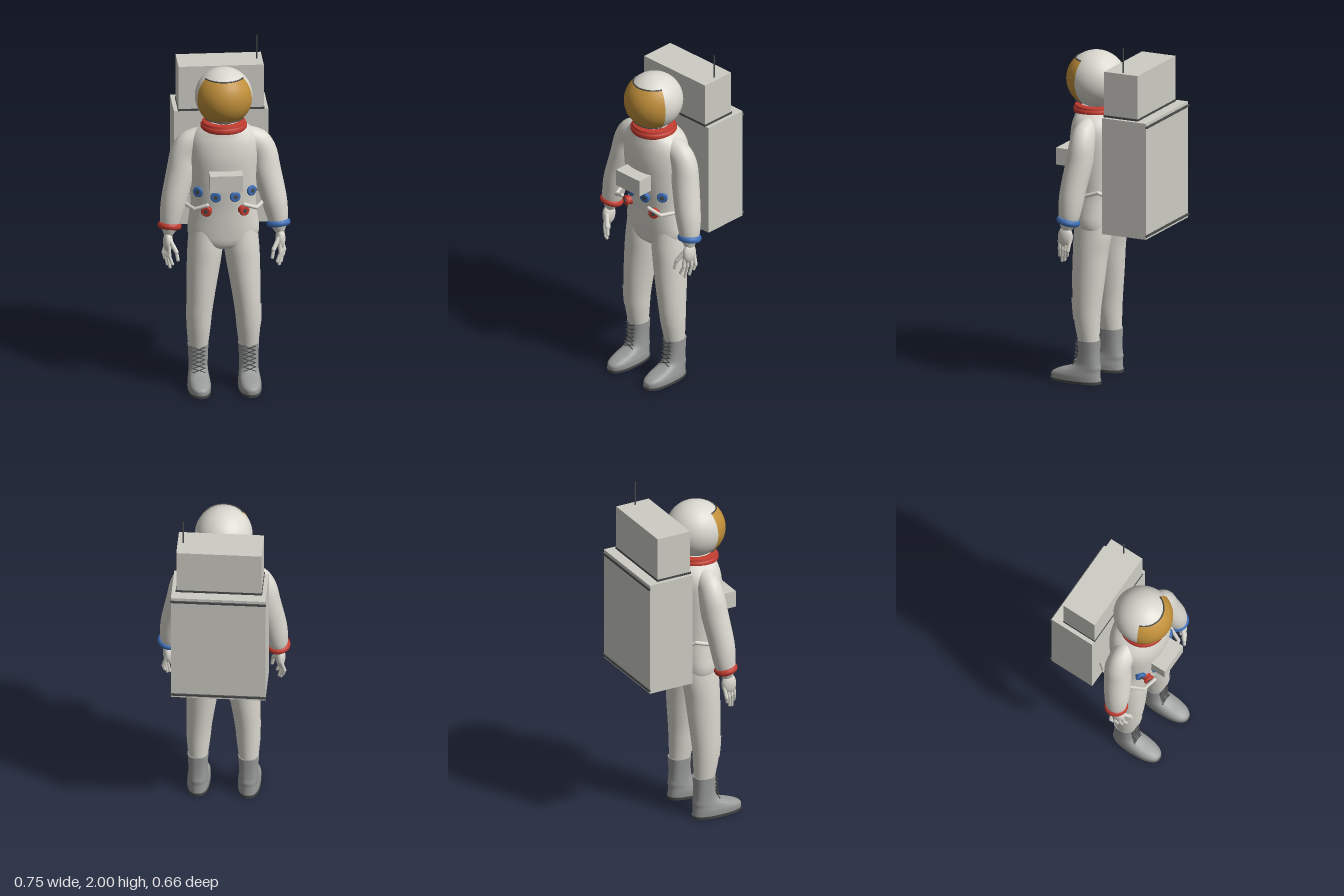
import * as THREE from 'three';

const mat = (name, color) => Object.assign(new THREE.MeshStandardMaterial({ color }), { name });

// Smooth interpolation between four neighbouring values
const cubic = (a, b, c, d, t) =>
  0.5 * (2 * b + (c - a) * t + (2 * a - 5 * b + 4 * c - d) * t * t + (3 * b - a - 3 * c + d) * t ** 3);

// Skin over rings [x, y, z, rx, rz, tilt], listed bottom to top; side -1 mirrors in x
function loft(sections, { side = 1, power = 2, from = 0, to = Math.PI * 2, steps = 5, seg = 36 } = {}) {
  const rings = [];
  const at = i => sections[Math.min(Math.max(i, 0), sections.length - 1)];
  for (let i = 0; i < sections.length - 1; i++)
    for (let k = 0; k < steps; k++)
      rings.push(at(i).map((_, c) => cubic(at(i - 1)[c], at(i)[c], at(i + 1)[c], at(i + 2)[c], k / steps)));
  rings.push(at(sections.length));
  const full = to - from > 6.28, n = full ? seg : seg + 1;
  const pos = [], idx = [];
  const curve = v => Math.sign(v) * Math.abs(v) ** (2 / power);
  const addRing = ([x, y, z, rx, rz, tilt = 0]) => {
    for (let i = 0; i < n; i++) {
      const a = from + (to - from) * i / seg, u = rx * curve(Math.cos(a));
      pos.push(side * (x + u * Math.cos(tilt)), y + u * Math.sin(tilt), z + rz * curve(Math.sin(a)));
    }
  };
  const tri = (a, b, c) => side > 0 ? idx.push(a, b, c) : idx.push(a, c, b);
  rings.forEach(addRing);
  for (let j = 0; j < rings.length - 1; j++)
    for (let i = 0; i < seg; i++) {
      const p = j * n + i, r = j * n + (i + 1) % n;
      tri(p, p + n, r);
      tri(r, p + n, r + n);
    }
  if (full) [rings[0], rings[rings.length - 1]].forEach((ring, top) => {
    const base = pos.length / 3, centre = base + n;
    addRing(ring);
    pos.push(side * ring[0], ring[1], ring[2]);
    for (let i = 0; i < n; i++) {
      const a = base + i, b = base + (i + 1) % n;
      top ? tri(centre, b, a) : tri(centre, a, b);
    }
  });
  const g = new THREE.BufferGeometry();
  g.setAttribute('position', new THREE.Float32BufferAttribute(pos, 3));
  g.setIndex(idx);
  g.computeVertexNormals();
  return g;
}

export function createModel() {
  const model = new THREE.Group();
  model.name = 'astronaut';
  const suit = mat('suit white', 0xdad8cf), shell = mat('pack grey', 0xcdccc4);
  const boot = mat('boot grey', 0x999a9a), dark = mat('dark trim', 0x4a4c4c);
  const gold = mat('visor gold', 0xc08f3a), red = mat('red', 0xc23c30), blue = mat('blue', 0x3f70b8);

  const add = (name, geo, material, x = 0, y = 0, z = 0) => {
    const m = new THREE.Mesh(geo, material);
    m.name = name;
    m.position.set(x, y, z);
    model.add(m);
    return m;
  };
  const box = (name, material, x0, x1, y0, y1, z0, z1) =>
    add(name, new THREE.BoxGeometry(x1 - x0, y1 - y0, z1 - z0), material, (x0 + x1) / 2, (y0 + y1) / 2, (z0 + z1) / 2);
  const rod = (name, a, b, r, material) => {
    const p = new THREE.Vector3(...a), q = new THREE.Vector3(...b), d = q.clone().sub(p);
    const m = add(name, new THREE.CapsuleGeometry(r, d.length(), 4, 10), material);
    m.position.copy(p).add(q).multiplyScalar(0.5);
    m.quaternion.setFromUnitVectors(new THREE.Vector3(0, 1, 0), d.normalize());
    return m;
  };

  // Torso
  add('torso', loft([
    [0, 0.83, 0.09, 0.03, 0.05], [0, 0.85, 0.088, 0.12, 0.095], [0, 0.885, 0.085, 0.185, 0.115],
    [0, 0.94, 0.085, 0.203, 0.122], [0, 1.02, 0.086, 0.194, 0.128], [0, 1.1, 0.088, 0.185, 0.133],
    [0, 1.2, 0.092, 0.189, 0.142], [0, 1.3, 0.095, 0.195, 0.149], [0, 1.4, 0.097, 0.2, 0.152],
    [0, 1.48, 0.096, 0.195, 0.145], [0, 1.535, 0.1, 0.165, 0.128], [0, 1.575, 0.115, 0.11, 0.105]
  ], { power: 2.2, seg: 48 }), suit);

  // Helmet, visor and neck ring
  const helmetY = 1.743, helmetZ = 0.117;
  add('helmet', new THREE.SphereGeometry(0.163, 48, 32), suit, 0, helmetY, helmetZ).scale.z = 1.04;
  add('visor', new THREE.SphereGeometry(0.1655, 48, 24, Math.PI / 2 - 1.2, 2.4, 0.76, 1.63), gold,
    0, helmetY, helmetZ).scale.z = 1.04;
  for (const dy of [0.12, -0.122]) {
    const rim = new THREE.TorusGeometry(0.114, 0.004, 8, 40, 2.4);
    rim.rotateZ(Math.PI / 2 - 1.2).rotateX(Math.PI / 2);
    add('visorRim', rim, dark, 0, helmetY + dy, helmetZ).scale.z = 1.04;
  }
  const neck = [[0.1, 1.55], [0.126, 1.551], [0.131, 1.558], [0.131, 1.574], [0.126, 1.58],
    [0.121, 1.583], [0.123, 1.592], [0.118, 1.598], [0.09, 1.6]].map(p => new THREE.Vector2(...p));
  add('neckRing', new THREE.LatheGeometry(neck, 48), red, 0, 0, helmetZ);

  // Life support pack, upper box, seams and antenna
  box('backpack', shell, -0.267, 0.267, 0.917, 1.595, -0.325, -0.05);
  box('upperPack', shell, -0.241, 0.241, 1.607, 1.86, -0.26, -0.05);
  box('upperPackSeam', dark, -0.244, 0.244, 1.595, 1.607, -0.263, -0.047);
  for (const y of [0.937, 1.572]) box('packSeam', dark, -0.27, 0.27, y - 0.006, y + 0.006, -0.333, -0.323);
  add('antenna', new THREE.CylinderGeometry(0.004, 0.004, 0.14, 10), dark, 0.21, 1.93, -0.155);

  // Chest control box
  box('chestBox', shell, -0.093, 0.093, 1.235, 1.333, 0.235, 0.326);

  // Hose connector: collar, rounded lip and dark socket
  const connector = (x, y, material) => {
    const g = new THREE.Group();
    g.name = 'hoseConnector';
    g.position.set(x, y, 0.085 + 0.14 * Math.sqrt(1 - (x / 0.19) ** 2));
    g.rotation.y = x * 4;
    const part = (geo, m, z) => {
      const mesh = new THREE.Mesh(geo, m);
      mesh.name = 'connectorPart';
      mesh.position.z = z;
      g.add(mesh);
    };
    part(new THREE.CylinderGeometry(0.023, 0.027, 0.045, 24).rotateX(Math.PI / 2), material, 0.012);
    part(new THREE.TorusGeometry(0.023, 0.008, 10, 28), material, 0.026);
    part(new THREE.CylinderGeometry(0.012, 0.012, 0.004, 20).rotateX(Math.PI / 2), dark, 0.035);
    model.add(g);
  };

  for (const s of [-1, 1]) {
    const opt = { side: s };

    connector(s * 0.138, 1.2, blue);
    connector(s * 0.05, 1.18, blue);
    connector(s * 0.098, 1.09, red);

    // Hose from the pack round the waist
    const hose = [[0.17, 1.1, -0.06], [0.22, 1.14, 0], [0.225, 1.11, 0.09], [0.21, 1.11, 0.165],
      [0.175, 1.11, 0.24], [0.105, 1.14, 0.265]].map(([x, y, z]) => [s * x, y, z]);
    for (let i = 1; i < hose.length; i++) rod('waistHose', hose[i - 1], hose[i], 0.011, suit);

    // Arm with wrist, and the coloured cuff
    add('arm', loft([
      [0.315, 0.93, 0.148, 0.026, 0.03, 0.1], [0.308, 0.985, 0.14, 0.052, 0.056, 0.15],
      [0.296, 1.06, 0.135, 0.066, 0.068, 0.15], [0.278, 1.15, 0.128, 0.074, 0.074, 0.15],
      [0.242, 1.3, 0.108, 0.08, 0.077, 0.2], [0.225, 1.39, 0.1, 0.08, 0.073, 0.45],
      [0.19, 1.45, 0.1, 0.08, 0.068, 0.95], [0.12, 1.48, 0.1, 0.075, 0.065, 1.35]
    ], opt), suit);
    const cuff = add('cuff', new THREE.TorusGeometry(0.053, 0.015, 12, 40).rotateX(Math.PI / 2),
      s < 0 ? red : blue, s * 0.308, 0.98, 0.142);
    cuff.scale.y = 1.25;
    cuff.rotation.set(-0.22, 0, s * 0.1);

    // Gloved hand
    add('palm', new THREE.SphereGeometry(1, 24, 16), suit, s * 0.318, 0.89, 0.155).scale.set(0.028, 0.062, 0.045);
    for (let i = 0; i < 4; i++) {
      const z = 0.122 + 0.022 * i, drop = [0.785, 0.755, 0.745, 0.77][i];
      const mid = [s * (0.343 - 0.01 * i), 0.815, z + 0.006];
      rod('finger', [s * (0.325 - 0.004 * i), 0.875, z], mid, 0.0105, suit);
      rod('fingertip', mid, [s * (0.335 - 0.013 * i), drop, z + 0.014], 0.009, suit);
    }
    rod('thumb', [s * 0.305, 0.9, 0.185], [s * 0.275, 0.845, 0.212], 0.013, suit);
    rod('thumbTip', [s * 0.275, 0.845, 0.212], [s * 0.267, 0.8, 0.218], 0.01, suit);

    // Leg and knee patch
    add('leg', loft([
      [0.143, 0.23, 0.094, 0.054, 0.06], [0.141, 0.35, 0.105, 0.067, 0.074], [0.137, 0.45, 0.108, 0.073, 0.083],
      [0.125, 0.6, 0.105, 0.084, 0.095], [0.111, 0.75, 0.099, 0.096, 0.102], [0.102, 0.85, 0.091, 0.1, 0.109],
      [0.098, 0.95, 0.086, 0.095, 0.105]
    ], opt), suit);
    add('kneePatch', loft([
      [0.1395, 0.37, 0.1055, 0.074, 0.081], [0.1375, 0.435, 0.1077, 0.078, 0.087], [0.133, 0.5, 0.107, 0.083, 0.093]
    ], { side: s, from: 0.25, to: 1.65, seg: 14 }), suit);

    // Boot, sole and crossed laces
    add('boot', loft([
      [0.143, 0.014, 0.174, 0.062, 0.15], [0.143, 0.045, 0.174, 0.064, 0.148], [0.143, 0.07, 0.152, 0.06, 0.125],
      [0.143, 0.092, 0.118, 0.056, 0.093], [0.143, 0.12, 0.099, 0.054, 0.069], [0.143, 0.18, 0.094, 0.055, 0.062],
      [0.143, 0.253, 0.093, 0.059, 0.064]
    ], { side: s, power: 2.4 }), boot);
    add('sole', loft([[0.143, 0, 0.174, 0.063, 0.153], [0.143, 0.016, 0.174, 0.066, 0.155]],
      { side: s, power: 2.4, steps: 1 }), dark);
    for (let i = 0; i < 6; i++) {
      const y = 0.105 + i * 0.024, z = 0.163 + 0.014 * (1 - i / 5) ** 2;
      for (const d of [-1, 1])
        rod('lace', [s * 0.143 - d * 0.034, y, z], [s * 0.143 + d * 0.034, y + 0.024, z - 0.004], 0.003, dark);
    }
  }
  return model;
}
